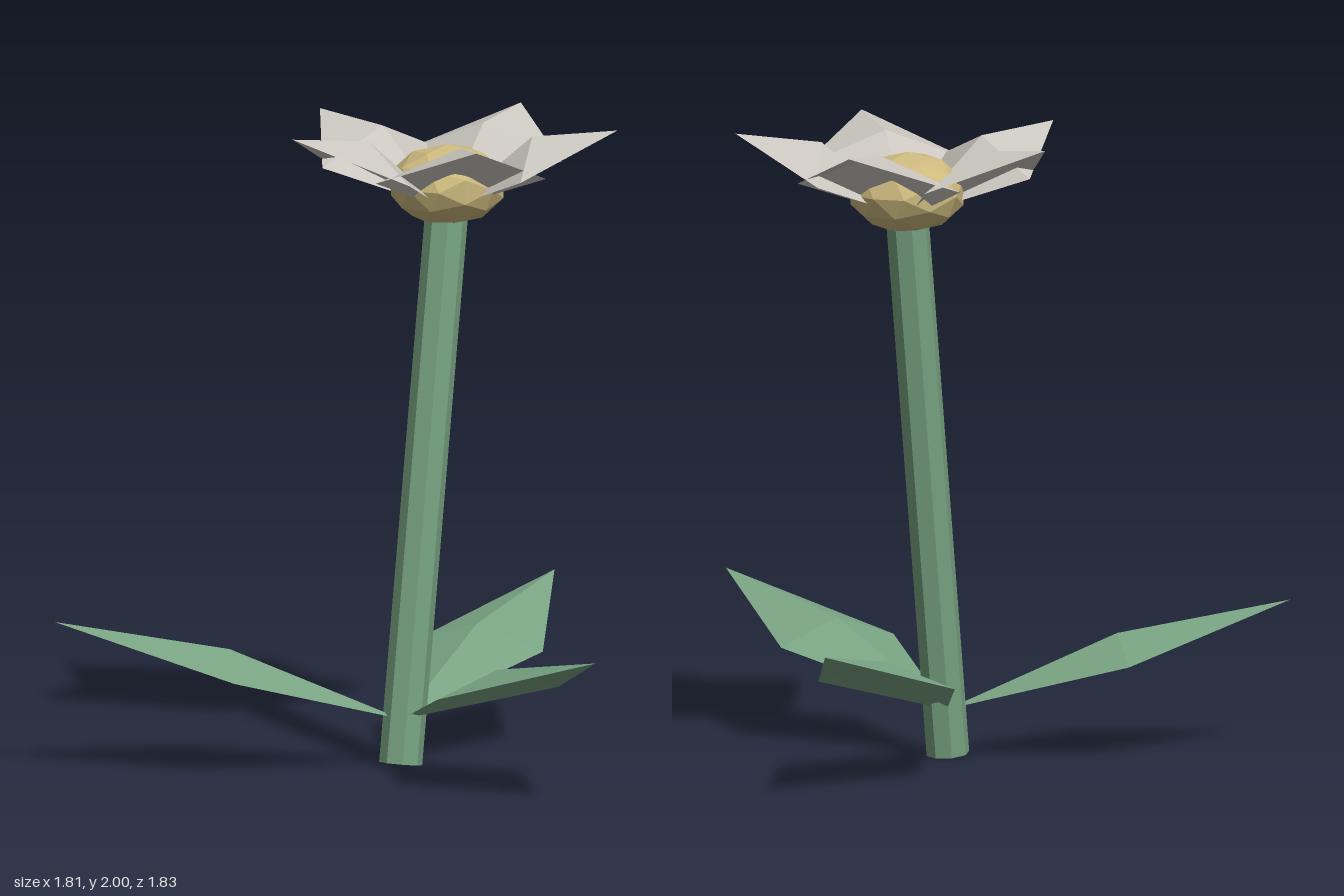
import * as THREE from 'three';

const material = (name, color, side = THREE.FrontSide) => {
  const m = new THREE.MeshStandardMaterial({ color, side, flatShading: true });
  m.name = name;
  return m;
};

// Pointed blade along +z: base, two side corners, a raised ridge point and a tip.
function bladeGeometry({ length, rise, middle, halfWidth, sideHeight, ridgeHeight }) {
  const base = [0, 0, 0], tip = [0, rise, length];
  const left = [halfWidth, sideHeight, middle], right = [-halfWidth, sideHeight, middle];
  const ridge = [0, ridgeHeight, middle];
  const faces = [base, ridge, left, base, right, ridge, ridge, tip, left, right, tip, ridge];
  const g = new THREE.BufferGeometry();
  g.setAttribute('position', new THREE.Float32BufferAttribute(faces.flat(), 3));
  g.computeVertexNormals();
  return g;
}

// Copies of a blade spread evenly around a centre.
function whorl(name, partName, geometry, mat, count, startAngle) {
  const group = new THREE.Group();
  group.name = name;
  for (let i = 0; i < count; i++) {
    const mesh = new THREE.Mesh(geometry, mat);
    mesh.name = partName;
    mesh.rotation.y = startAngle + (i * Math.PI * 2) / count;
    group.add(mesh);
  }
  return group;
}

export function createModel() {
  const model = new THREE.Group();
  model.name = 'flower';
  const stemGreen = material('stem green', 0x78a382);
  const leafGreen = stemGreen.clone();
  leafGreen.name = 'leaf green';
  leafGreen.side = THREE.DoubleSide;
  const petalWhite = material('petal white', 0xcbc7c0, THREE.DoubleSide);
  const pollenGold = material('pollen gold', 0xcdb97e);

  // Leaning stem
  const bottom = new THREE.Vector3(-0.15, 0.01, -0.13);
  const top = new THREE.Vector3(0.078, 1.76, -0.13);
  const axis = top.clone().sub(bottom);
  const stem = new THREE.Mesh(new THREE.CylinderGeometry(0.068, 0.068, axis.length(), 8), stemGreen);
  stem.name = 'stem';
  stem.position.copy(bottom).add(top).multiplyScalar(0.5);
  stem.quaternion.setFromUnitVectors(new THREE.Vector3(0, 1, 0), axis.normalize());
  model.add(stem);

  // Three ridged leaves near the ground
  const leaf = bladeGeometry({
    length: 1.09, rise: 0.32, middle: 0.54, halfWidth: 0.228, sideHeight: 0.153, ridgeHeight: 0.228,
  });
  const leaves = whorl('leaves', 'leaf', leaf, leafGreen, 3, -0.28);
  leaves.position.set(-0.145, 0.15, -0.13);
  model.add(leaves);

  // Five overlapping ridged petals
  const petal = bladeGeometry({
    length: 0.544, rise: 0.26, middle: 0.274, halfWidth: 0.271, sideHeight: 0.13, ridgeHeight: 0.235,
  });
  const petals = whorl('petals', 'petal', petal, petalWhite, 5, Math.PI - 0.065);
  petals.position.set(0.08, 1.74, -0.14);
  model.add(petals);

  // Flattened faceted heart of the blossom
  const heart = new THREE.Mesh(new THREE.IcosahedronGeometry(0.187, 1), pollenGold);
  heart.name = 'flowerCentre';
  heart.scale.y = 0.68;
  heart.position.set(0.082, 1.818, -0.134);
  model.add(heart);

  return model;
}
